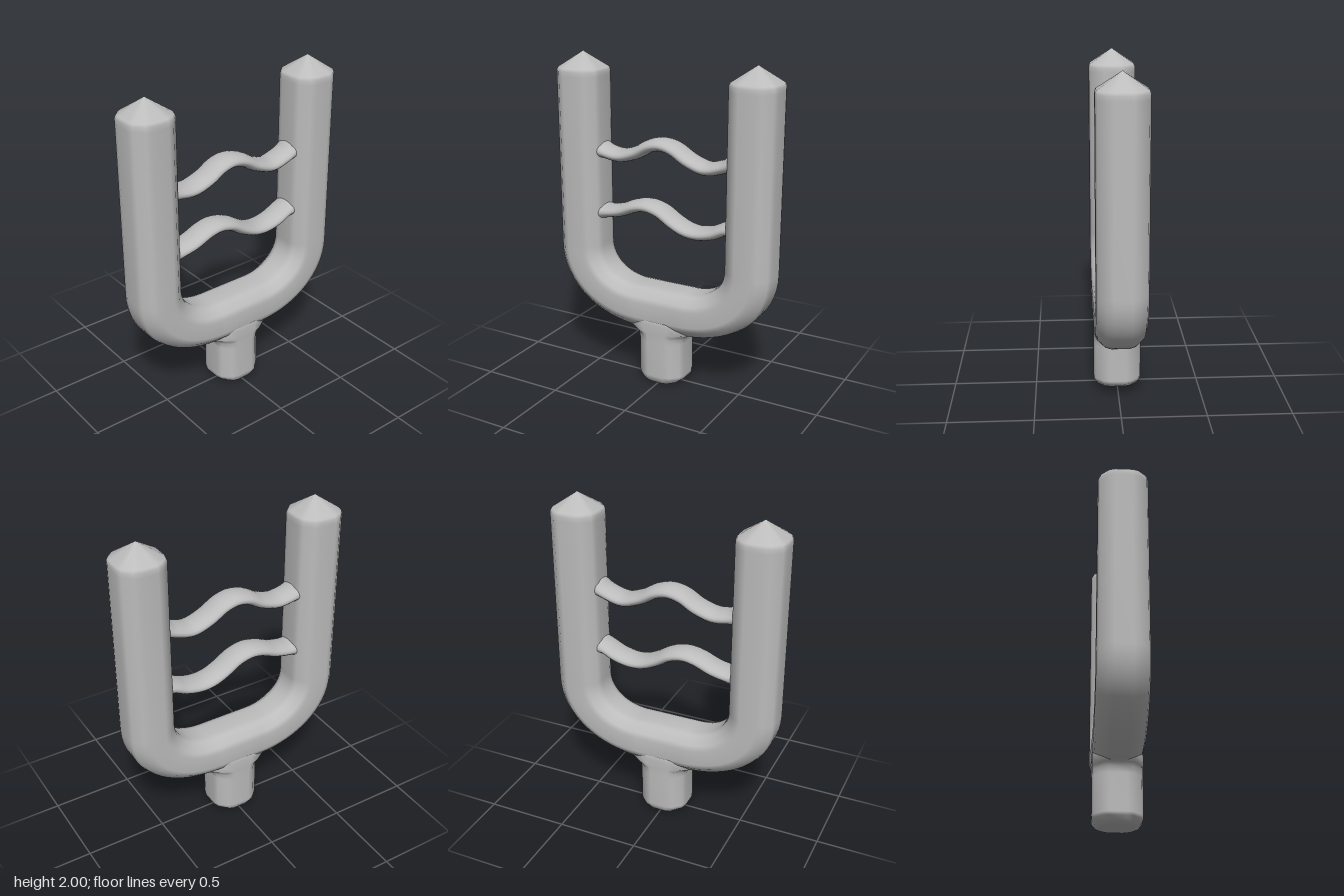
import * as THREE from 'three';

const OCT = [[1, 0.52], [0.52, 1], [-0.52, 1], [-1, 0.52], [-1, -0.52], [-0.52, -1], [0.52, -1], [1, -0.52]];

// Octagon with softened corners, counter-clockwise
const octagon = OCT.flatMap(([a, b], i) => {
  const p = OCT[(i + 7) % 8], n = OCT[(i + 1) % 8];
  return [p, n].map(([c, d]) => [a + (c - a) * 0.16, b + (d - b) * 0.16]);
});
const oval = Array.from({ length: 20 }, (_, i) => {
  const a = (i / 20) * Math.PI * 2;
  return [Math.cos(a), Math.sin(a)];
});

// Skin through rings { x, y, ux, uy, hz }: (ux, uy) is the half width across the path, hz the half depth in z
function loft(rings, profile) {
  const pos = [], idx = [], n = profile.length;
  for (const r of rings) {
    for (const [u, v] of profile) pos.push(r.x + r.ux * u, r.y + r.uy * u, r.hz * v);
  }
  for (let i = 0; i < rings.length - 1; i++) {
    for (let j = 0; j < n; j++) {
      const a = i * n + j, b = i * n + (j + 1) % n;
      if (rings[i].hz > 0) idx.push(a, b, a + n);
      if (rings[i + 1].hz > 0) idx.push(b, b + n, a + n);
    }
  }
  const g = new THREE.BufferGeometry();
  g.setAttribute('position', new THREE.Float32BufferAttribute(pos, 3));
  g.setIndex(idx);
  g.computeVertexNormals();
  return g;
}

export function createModel() {
  const group = new THREE.Group();
  const steel = new THREE.MeshStandardMaterial({ color: 0xbcbcbc });
  steel.name = 'grey steel';
  const add = (name, geometry) => {
    const mesh = new THREE.Mesh(geometry, steel);
    mesh.name = name;
    group.add(mesh);
  };

  // U-shaped fork with pointed tips: left half, then mirrored
  const half = [[2, 0], [1.992, 0.07], [1.905, 0.95], [1.888, 1], [1.86, 1], [1.4, 1]].map(([y, s]) => (
    { x: -0.565, y, ux: 0.145 * s, uy: 0, hz: 0.145 * s }));
  const bend = 16;
  for (let i = 0; i <= bend; i++) {
    const t = (i / bend) * Math.PI / 2;
    const c = Math.cos(t) ** 0.95, s = Math.max(0, Math.sin(t)) ** 0.95;
    const outer = [-0.12 - 0.59 * c, 0.8 - 0.462 * s];
    const inner = [-0.17 - 0.25 * c, 0.82 - 0.205 * s];
    half.push({
      x: (outer[0] + inner[0]) / 2, y: (outer[1] + inner[1]) / 2,
      ux: (inner[0] - outer[0]) / 2, uy: (inner[1] - outer[1]) / 2, hz: 0.145,
    });
  }
  const mirrored = half.map((r) => ({ ...r, x: -r.x, ux: -r.ux })).reverse();
  add('fork', loft([...half, ...mirrored], octagon));

  // Stem with rounded foot and flared top: [y, half width, half depth]
  const stem = [[0, 0, 0], [0, 0.085, 0.1], [0.012, 0.115, 0.125], [0.04, 0.148, 0.142], [0.06, 0.15, 0.144],
    [0.28, 0.15, 0.144], [0.315, 0.157, 0.144], [0.335, 0.175, 0.144], [0.352, 0.215, 0.144],
    [0.4, 0.22, 0.144], [0.45, 0.2, 0.14], [0.45, 0, 0]];
  add('stem', loft(stem.map(([y, w, d]) => ({ x: 0, y, ux: -w, uy: 0, hz: d })), octagon));

  // Wavy ribbons between the prongs
  const wave = (name, points) => {
    const curve = new THREE.CatmullRomCurve3(points.map(([x, y]) => new THREE.Vector3(x, y, 0)));
    const steps = 48, rings = [];
    for (let i = 0; i <= steps; i++) {
      const p = curve.getPointAt(i / steps), d = curve.getTangentAt(i / steps);
      const flare = Math.max(0, (Math.abs(p.x) - 0.385) / 0.05);
      const h = 0.039 + 0.014 * Math.min(1, flare) ** 2;
      rings.push({ x: p.x, y: p.y, ux: -d.y * h, uy: d.x * h, hz: 0.085 });
    }
    add(name, loft(rings, oval));
  };
  wave('upperWave', [[-0.46, 1.425], [-0.4, 1.408], [-0.3, 1.396], [-0.19, 1.428], [-0.1, 1.478], [-0.02, 1.494],
    [0.06, 1.476], [0.16, 1.42], [0.27, 1.387], [0.37, 1.41], [0.46, 1.45]]);
  wave('lowerWave', [[-0.46, 1.03], [-0.39, 1.036], [-0.3, 1.055], [-0.2, 1.095], [-0.12, 1.108], [-0.03, 1.088],
    [0.06, 1.035], [0.14, 1.0], [0.22, 0.99], [0.32, 1.01], [0.4, 1.047], [0.46, 1.06]]);

  return group;
}
